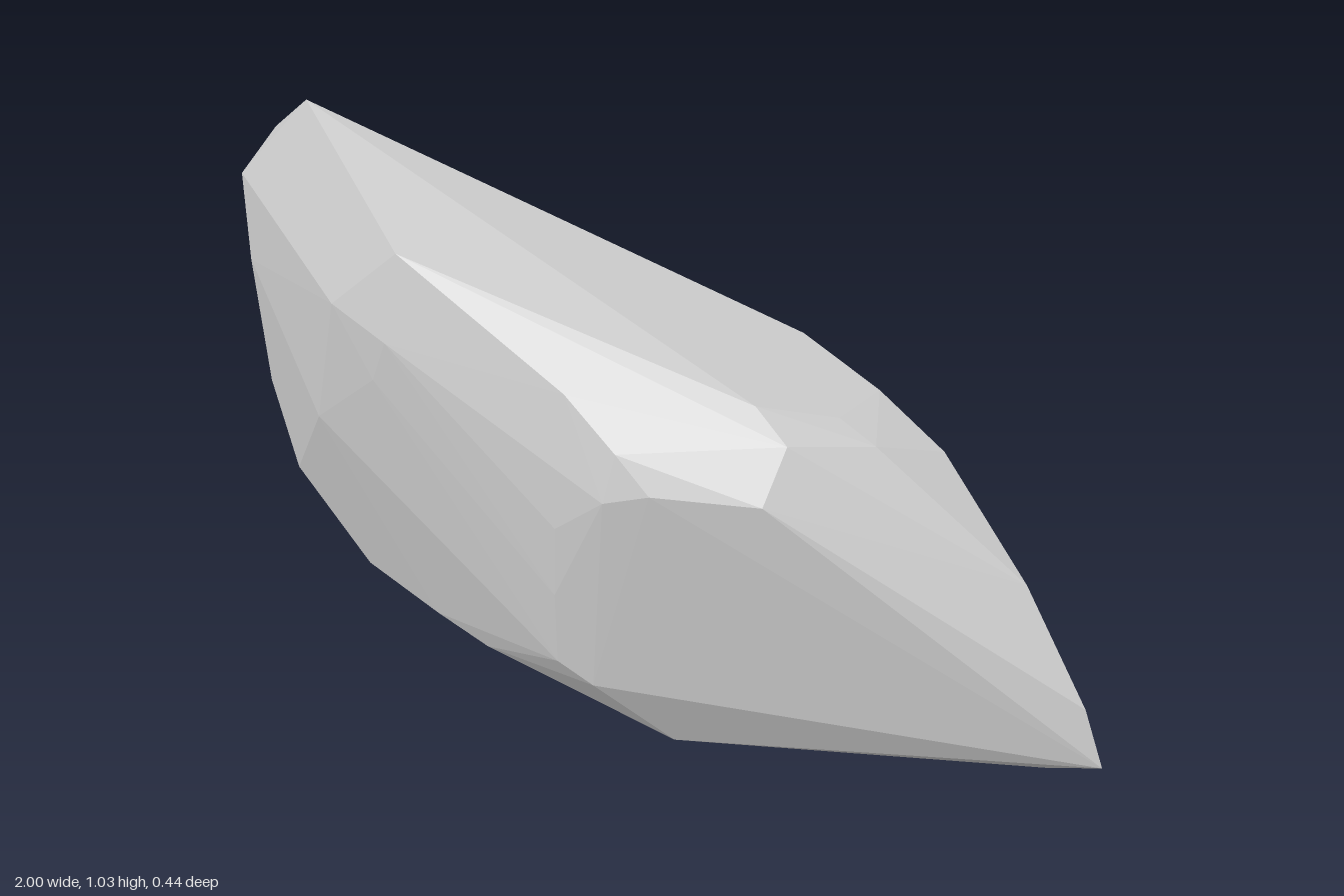
import * as THREE from 'three';
import { ConvexGeometry } from 'three/addons/geometries/ConvexGeometry.js';

// Flat back of the boulder, as [x, y] on one plane
const BACK_Z = -0.22;
const back = [
  [1.0, 0.36], [0.95, 0.46], [0.8, 0.64], [0.6, 0.81], [0.45, 0.86], [0.27, 0.89], [0.2, 0.86],
  [-0.22, 0.44], [-0.22, 0.36], [0.09, 0.085], [0.18, 0.04], [0.28, 0.033], [0.39, 0.035], [0.89, 0.285],
];

// Outer rim on the left-hand end, as [x, y] on one plane
const RIM_Z = 0.045;
const rim = [
  [-0.79, 1.03], [-0.9, 0.93], [-0.99, 0.8], [-1.0, 0.67], [-0.99, 0.53],
  [-0.91, 0.37], [-0.7, 0.1], [-0.55, 0], [-0.45, 0],
];

// Corners of the bulging front, as [x, y, z]
const front = [
  [-0.38, 0.92, 0.165], [0.05, 0.82, 0.145], [-0.93, 0.84, 0.115],
  [-0.89, 0.67, 0.14], [-0.89, 0.37, 0.12], [-0.87, 0.25, 0.1], [-0.79, 0.21, 0.14],
  [-0.52, 0.77, 0.215], [-0.36, 0.76, 0.218], [-0.4, 0.66, 0.22], [-0.6, 0.47, 0.21],
  [-0.57, 0.08, 0.135], [-0.33, 0.1, 0.15], [-0.18, 0.105, 0.148],
  [0.08, 0.26, 0.195], [0.15, 0.23, 0.17], [0.08, 0.42, 0.2], [0.25, 0.09, 0.055],
  [0.08, 0.57, 0.197], [0.18, 0.67, 0.175], [0.18, 0.76, 0.145], [0.26, 0.71, 0.14],
  [0.44, 0.74, 0.05], [0.43, 0.83, -0.015], [0.53, 0.83, -0.125],
  [0.34, 0.86, -0.03], [0.45, 0.85, -0.12],
];

export function createModel() {
  const group = new THREE.Group();
  group.name = 'boulder';
  const stone = new THREE.MeshStandardMaterial({ color: 0xc7c7c7 });
  stone.name = 'pale grey stone';

  // Faceted stone stretched over the three sets of corners
  const points = [
    ...back.map(([x, y]) => new THREE.Vector3(x, y, BACK_Z)),
    ...rim.map(([x, y]) => new THREE.Vector3(x, y, RIM_Z)),
    ...front.map((p) => new THREE.Vector3(...p)),
  ];
  const rock = new THREE.Mesh(new ConvexGeometry(points), stone);
  rock.name = 'rock';
  group.add(rock);
  return group;
}
